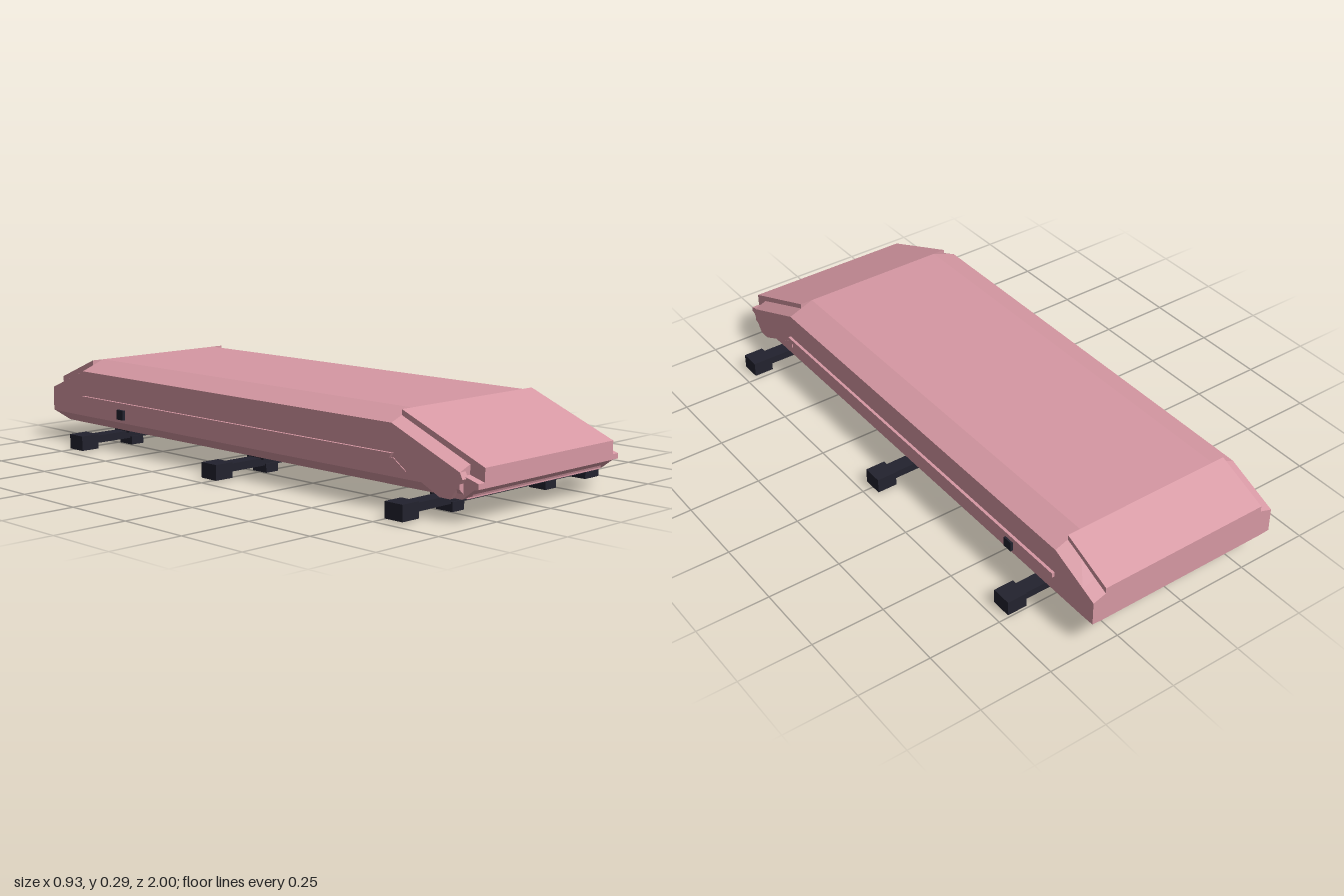
import * as THREE from 'three';

const shellPaint = new THREE.MeshStandardMaterial({ color: 0xd698a3 });
shellPaint.name = 'rosePaint';
const blackMetal = new THREE.MeshStandardMaterial({ color: 0x22222e });
blackMetal.name = 'blackMetal';

function add(parent, name, geometry, material) {
  const mesh = new THREE.Mesh(geometry, material);
  mesh.name = name;
  parent.add(mesh);
  return mesh;
}

// Extrudes a [z, y] outline across x from x0 to x1
function slab(outline, x0, x1) {
  const shape = new THREE.Shape(outline.map(([z, y]) => new THREE.Vector2(z, y)));
  const g = new THREE.ExtrudeGeometry(shape, { depth: x1 - x0, bevelEnabled: false });
  return g.rotateY(-Math.PI / 2).translate(x1, 0, 0);
}

function box(x0, x1, y0, y1, z, depth) {
  return new THREE.BoxGeometry(x1 - x0, y1 - y0, depth).translate((x0 + x1) / 2, (y0 + y1) / 2, z);
}

// Faceted hull joining mirrored cross-sections, ordered back to front
function hull(stations) {
  const loops = stations.map(([z, top, shoulder, sill, floor]) => {
    const half = [[0.315, floor], [0.35, sill], [0.35, shoulder], [0.26, top]];
    const mirror = half.map(([x, y]) => [-x, y]).reverse();
    return [...half, ...mirror].map(([x, y]) => [x, y, z]);
  });
  const pos = [];
  const tri = (a, b, c) => pos.push(...a, ...b, ...c);
  const n = loops[0].length;
  for (let i = 0; i < loops.length - 1; i++) {
    for (let j = 0; j < n; j++) {
      const k = (j + 1) % n;
      tri(loops[i][j], loops[i][k], loops[i + 1][k]);
      tri(loops[i][j], loops[i + 1][k], loops[i + 1][j]);
    }
  }
  const back = loops[0], front = loops[loops.length - 1];
  for (let j = 1; j < n - 1; j++) {
    tri(back[0], back[j + 1], back[j]);
    tri(front[0], front[j], front[j + 1]);
  }
  const g = new THREE.BufferGeometry();
  g.setAttribute('position', new THREE.Float32BufferAttribute(pos, 3));
  g.computeVertexNormals();
  return g;
}

export function createModel() {
  const model = new THREE.Group();
  model.name = 'lowPod';

  // Main shell: z, roof, shoulder, sill and floor heights
  add(model, 'shell', hull([
    [-1, 0.215, 0.185, 0.102, 0.1],
    [-0.95, 0.236, 0.206, 0.1, 0.067],
    [-0.82, 0.295, 0.26, 0.1, 0.067],
    [0.68, 0.295, 0.26, 0.1, 0.067],
    [0.945, 0.185, 0.15, 0.1, 0.067],
  ]), shellPaint);

  // Raised sloping panels at both ends
  add(model, 'frontPanel', slab([
    [0.68, 0.09], [0.93, 0.068], [0.955, 0.075], [0.96, 0.087], [0.985, 0.103],
    [1, 0.12], [1, 0.165], [0.68, 0.295],
  ], -0.305, 0.305), shellPaint);
  add(model, 'backPanel', slab([
    [-1, 0.102], [-0.82, 0.102], [-0.82, 0.295], [-1, 0.22],
  ], -0.305, 0.305), shellPaint);
  add(model, 'noseBase', slab([
    [0.9, 0.068], [0.94, 0.068], [0.985, 0.102], [1, 0.105], [1, 0.122], [0.9, 0.15],
  ], -0.333, 0.333), shellPaint);

  // Side fittings, one set per side
  for (const s of [-1, 1]) {
    const side = s < 0 ? 'right' : 'left';
    const plate = (outline, a, b) => slab(outline, Math.min(s * a, s * b), Math.max(s * a, s * b));
    add(model, side + 'CornerPlate', plate([
      [0.8, 0.1], [0.87, 0.067], [0.91, 0.067], [0.955, 0.13], [0.945, 0.15], [0.86, 0.15],
    ], 0.325, 0.35), shellPaint);
    add(model, side + 'Rail', plate([
      [-0.82, 0.156], [0.68, 0.156], [0.69, 0.172], [-0.82, 0.172],
    ], 0.345, 0.36), shellPaint);
    add(model, side + 'RailHook', plate([
      [0.68, 0.128], [0.74, 0.124], [0.69, 0.158], [0.68, 0.158],
    ], 0.345, 0.353), shellPaint);
    add(model, side + 'Latch', box(s * 0.35 - 0.01, s * 0.35 + 0.01, 0.112, 0.146, -0.6, 0.035), blackMetal);
  }

  // Cross bars with end blocks, clamps and feet
  for (const z of [-0.712, -0.005, 0.798]) {
    const bar = new THREE.Group();
    bar.name = 'crossBar';
    model.add(bar);
    add(bar, 'bar', box(-0.4, 0.4, 0.024, 0.05, z, 0.052), blackMetal);
    for (const s of [-1, 1]) {
      add(bar, 'endBlock', box(s * 0.43 - 0.035, s * 0.43 + 0.035, 0.006, 0.057, z, 0.07), blackMetal);
      add(bar, 'clamp', box(s * 0.22 - 0.044, s * 0.22 + 0.044, 0.046, 0.068, z, 0.08), blackMetal);
      add(bar, 'foot', box(s * 0.22 - 0.026, s * 0.22 + 0.026, 0, 0.03, z, 0.065), blackMetal);
    }
  }
  return model;
}
